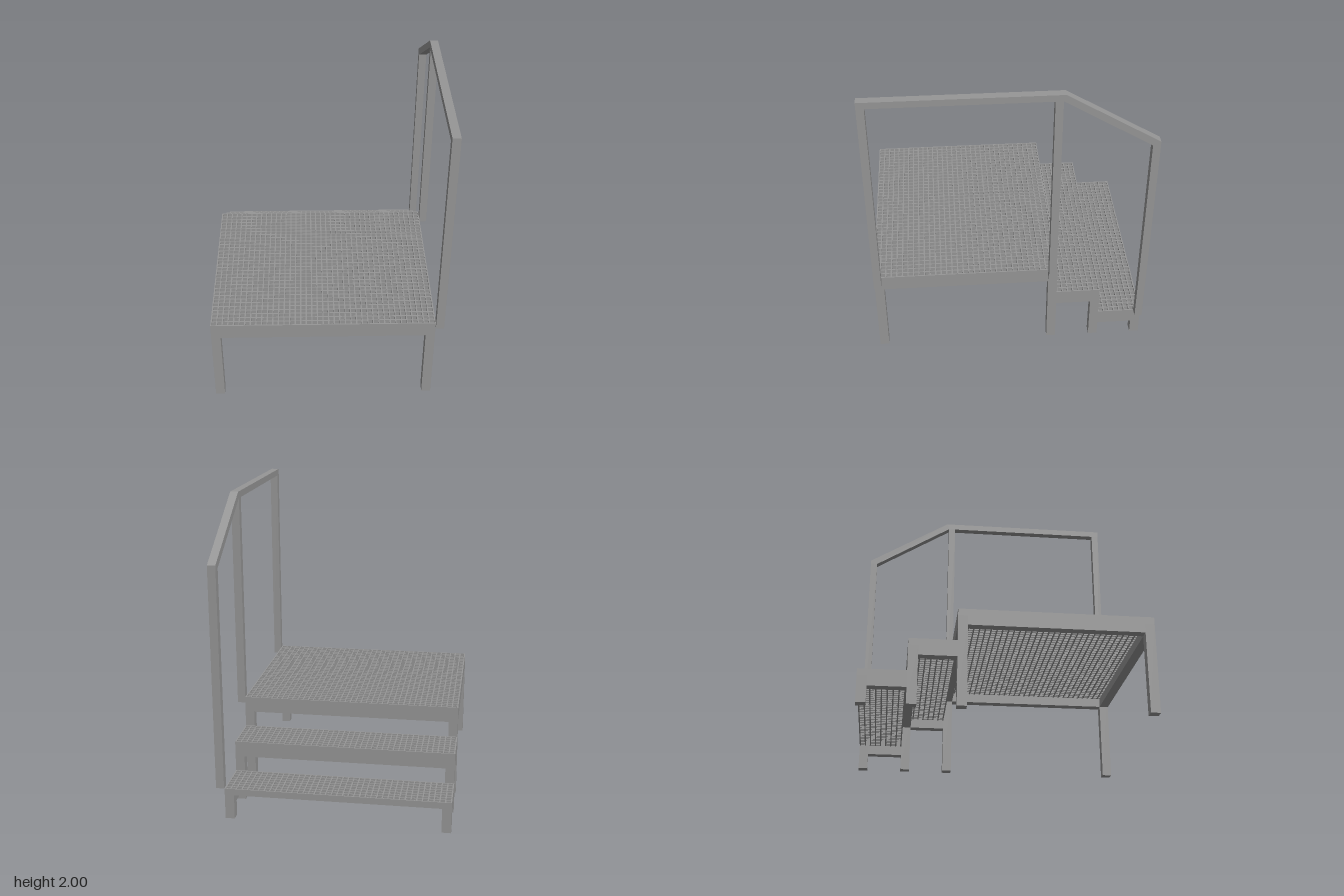
import * as THREE from 'three';
import { mergeGeometries } from 'three/addons/utils/BufferGeometryUtils.js';

const steel = new THREE.MeshStandardMaterial({ color: 0x969696, flatShading: true });
const LEFT = 0.69, RIGHT = -0.745;   // sides of the deck
const FRONT = 0.888, BACK = -0.888;  // ends of the whole model
const DECK_BACK = -0.31, STEP_BACK = -0.6;
const TUBE = 0.06;                   // square tube of the frame
const POST = 0.048;                  // square tube of the handrail
const RAIL_X = 0.693, RAIL_WIDTH = 0.052;
const DEPTH = 0.043;                 // grating thickness

// Box given by its two extreme corners
function boxGeometry(x0, x1, y0, y1, z0, z1) {
  return new THREE.BoxGeometry(x1 - x0, y1 - y0, z1 - z0)
    .translate((x0 + x1) / 2, (y0 + y1) / 2, (z0 + z1) / 2);
}

function addMesh(parent, name, geometry) {
  const mesh = new THREE.Mesh(geometry, steel);
  mesh.name = name;
  parent.add(mesh);
}

// Square mesh of upright bars inside a border band
function gratingGeometry(top, z0, z1) {
  const bar = 0.008, pitch = 0.036, low = top - DEPTH, parts = [];
  const nx = Math.round((LEFT - RIGHT) / pitch);
  const nz = Math.round((z1 - z0) / pitch);
  for (let i = 0; i <= nx; i++) {
    const x = RIGHT + (LEFT - RIGHT - bar) * i / nx;
    parts.push(boxGeometry(x, x + bar, low, top, z0, z1));
  }
  for (let j = 0; j <= nz; j++) {
    const z = z0 + (z1 - z0 - bar) * j / nz;
    parts.push(boxGeometry(RIGHT, LEFT, low, top, z, z + bar));
  }
  return mergeGeometries(parts);
}

// One level: grating, legs at the listed z, side beams and cross beams
function addLevel(parent, name, { top, z0, z1, legs, beam, crossBeams }) {
  const level = new THREE.Group();
  level.name = name;
  parent.add(level);
  const under = top - DEPTH, low = under - TUBE;
  addMesh(level, 'grating', gratingGeometry(top, z0, z1));
  for (const x of [RIGHT, LEFT - TUBE]) {
    for (const z of legs) addMesh(level, 'leg', boxGeometry(x, x + TUBE, 0, under, z, z + TUBE));
    addMesh(level, 'sideBeam', boxGeometry(x, x + TUBE, low, under, beam[0], beam[1]));
  }
  for (const z of crossBeams) {
    addMesh(level, 'crossBeam', boxGeometry(RIGHT + TUBE, LEFT - TUBE, low, under, z, z + TUBE));
  }
}

export function createModel() {
  const model = new THREE.Group();
  model.name = 'steppedPlatform';

  addLevel(model, 'platform', {
    top: 0.612, z0: DECK_BACK, z1: FRONT,
    legs: [DECK_BACK, FRONT - TUBE], beam: [DECK_BACK + TUBE, FRONT - TUBE],
    crossBeams: [DECK_BACK, FRONT - TUBE],
  });
  addLevel(model, 'upperStep', {
    top: 0.407, z0: STEP_BACK, z1: DECK_BACK,
    legs: [STEP_BACK], beam: [STEP_BACK + TUBE, DECK_BACK],
    crossBeams: [STEP_BACK],
  });
  addLevel(model, 'lowerStep', {
    top: 0.204, z0: BACK, z1: STEP_BACK,
    legs: [BACK], beam: [BACK + TUBE, STEP_BACK],
    crossBeams: [],
  });

  // Handrail along the left side
  const handrail = new THREE.Group();
  handrail.name = 'handrail';
  model.add(handrail);
  const posts = [
    ['frontPost', FRONT - POST, 0.567, 1.957],
    ['middlePost', -0.296, 0.567, 1.957],
    ['stepPost', BACK, 0.204, 1.62],
  ];
  for (const [name, z, y0, y1] of posts) {
    addMesh(handrail, name, boxGeometry(RAIL_X, RAIL_X + RAIL_WIDTH, y0, y1, z, z + POST));
  }

  // Top rail: level over the platform, sloping down over the steps (z, y)
  const outline = new THREE.Shape([
    [FRONT, 2], [-0.31, 2], [BACK, 1.645], [BACK, 1.59], [-0.296, 1.957], [FRONT, 1.957],
  ].map(([z, y]) => new THREE.Vector2(z, y)));
  const rail = new THREE.ExtrudeGeometry(outline, { depth: RAIL_WIDTH, bevelEnabled: false })
    .rotateY(-Math.PI / 2).translate(RAIL_X + RAIL_WIDTH, 0, 0);
  addMesh(handrail, 'topRail', rail);

  return model;
}
